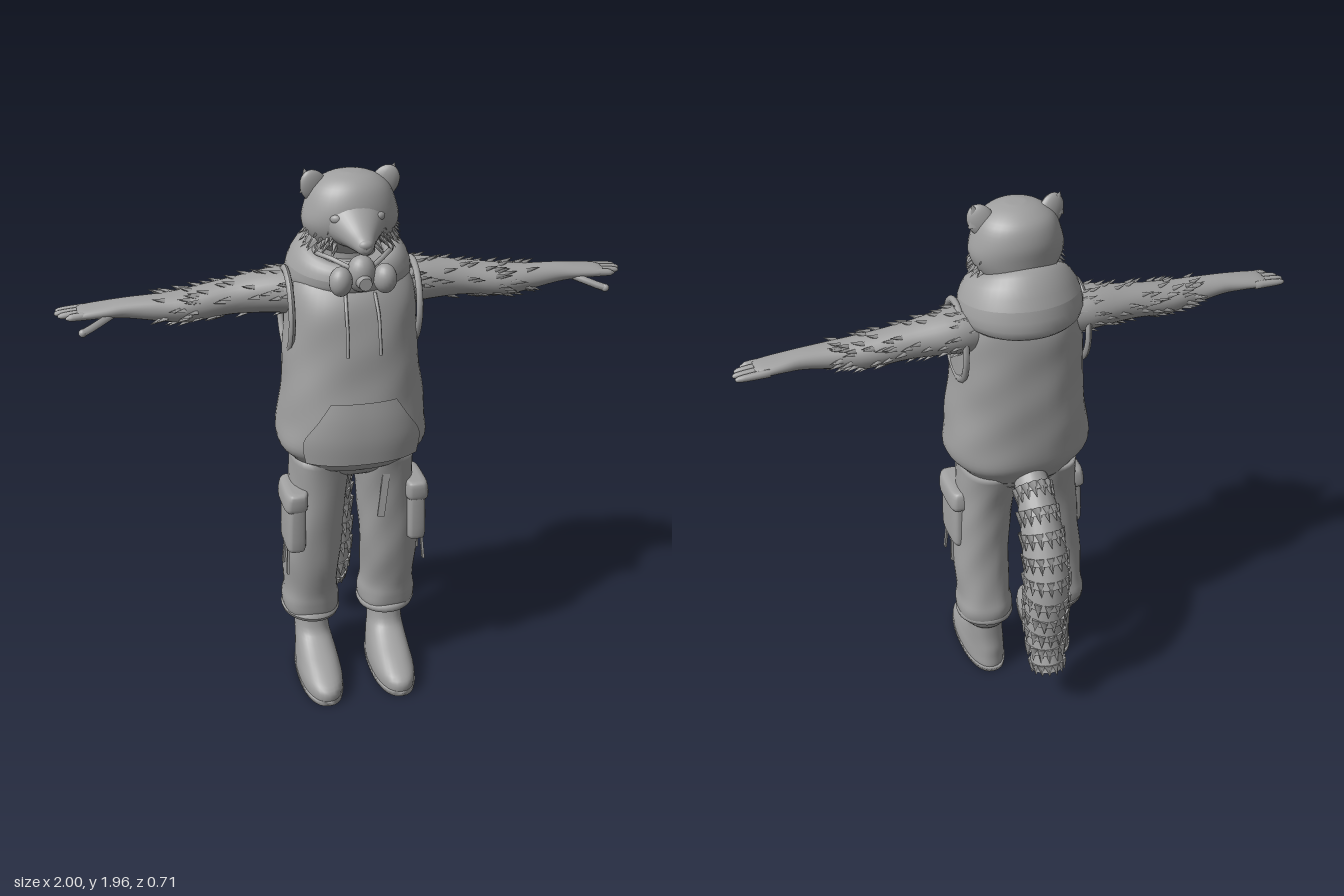
import * as THREE from 'three';
import { mergeGeometries } from 'three/addons/utils/BufferGeometryUtils.js';

const grey = new THREE.MeshStandardMaterial({ color: 0xa0a0a0, side: THREE.DoubleSide });
grey.name = 'grey';

let seed = 7;
const rnd = () => (seed = (seed * 16807) % 2147483647) / 2147483647;
const V = (x, y, z) => new THREE.Vector3(x, y, z);
const spow = (v, e) => Math.sign(v) * Math.pow(Math.abs(v), e);

// Loft of superellipse rings along an axis; rows: [t, centreA, centreB, radiusA, radiusB, halfArc]
// axis y: A = x, B = z; axis z: A = x, B = y; axis x: A = y, B = z
function loft(axis, rows, { n = 28, k = 4, p = 2, fold = 0, arc = false } = {}) {
  const pos = [], idx = [], total = (rows.length - 1) * k;
  for (let i = 0; i <= total; i++) {
    const s = Math.min(Math.floor(i / k), rows.length - 2), f = i / k - s;
    const at = (r) => rows[Math.max(0, Math.min(rows.length - 1, r))];
    const [t, ca, cb, ra, rb, half] = rows[0].map((_, c) => {
      const a = at(s - 1)[c], b = at(s)[c], d = at(s + 1)[c], e = at(s + 2)[c];
      return b + 0.5 * f * (d - a + f * (2 * a - 5 * b + 4 * d - e + f * (3 * (b - d) + e - a)));
    });
    for (let j = 0; j < n; j++) {
      const th = arc ? -half + (2 * half * j) / (n - 1) : (j / n) * Math.PI * 2;
      const w = 1 + fold * (Math.sin(3 * th + 19 * t) + 0.7 * Math.sin(5 * th - 31 * t));
      const c = spow(Math.cos(th), 2 / p) * w, q = spow(Math.sin(th), 2 / p) * w;
      if (axis === 'y') pos.push(ca + ra * q, t, cb + rb * c);
      else if (axis === 'z') pos.push(ca + ra * c, cb + rb * q, t);
      else pos.push(t, ca + ra * c, cb + rb * q);
    }
    const m = arc ? n - 1 : n;
    if (i < total) for (let j = 0; j < m; j++) {
      const a = i * n + j, b = i * n + ((j + 1) % n);
      idx.push(a, b, b + n, a, b + n, a + n);
    }
  }
  if (!arc) for (let j = 1; j < n - 1; j++) {
    const o = total * n;
    idx.push(0, j + 1, j, o, o + j, o + j + 1);
  }
  const g = new THREE.BufferGeometry();
  g.setAttribute('position', new THREE.Float32BufferAttribute(pos, 3));
  g.setIndex(idx);
  g.computeVertexNormals();
  return g;
}

function mirrored(g) {
  const m = g.clone().scale(-1, 1, 1), a = m.index.array;
  for (let i = 0; i < a.length; i += 3) [a[i], a[i + 1]] = [a[i + 1], a[i]];
  m.computeVertexNormals();
  return m;
}

// Place a primitive: position, rotation, scale baked in
function put(g, p, r = [0, 0, 0], s = [1, 1, 1]) {
  const q = new THREE.Quaternion().setFromEuler(new THREE.Euler(...r));
  return g.applyMatrix4(new THREE.Matrix4().compose(V(...p), q, V(...s)));
}
const box = (w, h, d) => new THREE.BoxGeometry(w, h, d);
const ball = (r) => new THREE.SphereGeometry(r, 20, 14);

// Pointed lock of fur
function tuft(base, dir, len, r) {
  const g = new THREE.ConeGeometry(r, len, 4).translate(0, len / 2, 0);
  g.applyQuaternion(new THREE.Quaternion().setFromUnitVectors(V(0, 1, 0), dir.clone().normalize()));
  return g.translate(base.x, base.y, base.z);
}
const rope = (pts, r) => new THREE.TubeGeometry(new THREE.CatmullRomCurve3(pts.map((p) => V(...p))), 16, r, 6);

export function createModel() {
  const model = new THREE.Group();
  const add = (name, g) => {
    const m = new THREE.Mesh(g, grey);
    m.name = name;
    model.add(m);
  };
  const pair = (name, g) => { add('left' + name, g); add('right' + name, mirrored(g)); };

  // Sleeveless hooded top, with a gathered hem
  add('hoodieBody', loft('y', [
    [0.915, 0, 0.08, 0.2, 0.165], [0.945, 0, 0.085, 0.225, 0.185], [1.0, 0, 0.09, 0.265, 0.215],
    [1.1, 0, 0.088, 0.258, 0.218], [1.25, 0, 0.08, 0.24, 0.21], [1.4, 0, 0.073, 0.23, 0.2],
    [1.52, 0, 0.065, 0.222, 0.187], [1.6, 0, 0.055, 0.195, 0.155], [1.66, 0, 0.045, 0.13, 0.115],
  ], { n: 48, k: 5, p: 2.35, fold: 0.009 }));
  add('pouchPocket', loft('y', [
    [0.97, 0, 0.096, 0.262, 0.216, 0.8], [1.05, 0, 0.097, 0.27, 0.222, 0.82],
    [1.13, 0, 0.093, 0.26, 0.222, 0.6], [1.2, 0, 0.084, 0.246, 0.22, 0.42],
  ], { n: 24, p: 2.35, arc: true }));
  pair('Armhole', put(new THREE.TorusGeometry(0.115, 0.012, 8, 28), [0.222, 1.47, 0.06], [0, Math.PI / 2, 0.05], [1, 1.25, 1]));
  pair('Drawstring', rope([[0.05, 1.57, 0.225], [0.055, 1.5, 0.266], [0.055, 1.44, 0.285], [0.057, 1.37, 0.294]], 0.006));

  // Hood lying on the shoulders: a ring that swells towards the back
  const hood = new THREE.TorusGeometry(1, 0.3, 18, 48);
  const hp = hood.attributes.position;
  for (let i = 0; i < hp.count; i++) {
    const x = hp.getX(i), y = hp.getY(i), a = Math.atan2(x, -y), b = (1 + Math.cos(a)) / 2;
    const out = (Math.hypot(x, y) - 1) / 0.3, up = hp.getZ(i) / 0.3;
    const lean = -0.045 * up * b;
    const r = 0.155 + 0.01 * b + out * (0.035 + 0.02 * b) + lean;
    hp.setXYZ(i, Math.sin(a) * r * 1.03, 1.61 + 0.045 * b + up * (0.05 + 0.06 * b), 0.055 - Math.cos(a) * r * 0.96);
  }
  // The ring is remapped from its own plane to lie flat, so its winding is reversed
  hood.computeVertexNormals();
  const hx = hood.index.array, hn = hood.attributes.normal;
  let side = 0;
  for (let i = 0; i < hp.count; i++) side += hn.getY(i) * (hp.getY(i) - 1.63);
  if (side < 0) for (let i = 0; i < hx.length; i += 3) [hx[i], hx[i + 1]] = [hx[i + 1], hx[i]];
  hood.computeVertexNormals();
  add('hood', hood);

  // Neck and head
  add('neck', loft('y', [[1.55, 0, 0.05, 0.1, 0.09], [1.65, 0, 0.05, 0.09, 0.085], [1.76, 0, 0.05, 0.1, 0.09]]));
  add('head', loft('y', [
    [1.675, 0, 0.05, 0.08, 0.08], [1.72, 0, 0.062, 0.135, 0.115], [1.78, 0, 0.07, 0.165, 0.132],
    [1.84, 0, 0.07, 0.156, 0.135], [1.9, 0, 0.07, 0.13, 0.115], [1.935, 0, 0.075, 0.085, 0.075], [1.95, 0, 0.075, 0.03, 0.03],
  ], { n: 36 }));
  add('muzzle', loft('z', [
    [0.08, 0, 1.805, 0.125, 0.11], [0.16, 0, 1.8, 0.105, 0.09], [0.21, 0, 1.785, 0.075, 0.065],
    [0.26, 0, 1.767, 0.045, 0.042], [0.3, 0, 1.757, 0.027, 0.027], [0.312, 0, 1.757, 0.012, 0.012],
  ]));
  add('nose', put(ball(0.022), [0, 1.765, 0.298], [0, 0, 0], [1.1, 0.8, 0.8]));
  pair('Eye', put(ball(0.016), [0.075, 1.822, 0.19], [0, 0.5, 0], [1.2, 0.9, 0.7]));
  pair('Ear', put(new THREE.SphereGeometry(0.055, 16, 12, 0, Math.PI * 2, 0, Math.PI * 0.75),
    [0.122, 1.9, 0.065], [0.1, -0.2, -0.42], [0.85, 1.1, 0.42]));
  pair('EarTip', put(new THREE.ConeGeometry(0.04, 0.075, 12), [0.143, 1.928, 0.065], [0, 0, -0.32], [1, 1, 0.45]));
  const cheek = [];
  for (let i = 0; i < 40; i++) {
    const a = -0.5 + rnd() * 2.2, y = 1.71 + rnd() * 0.1;
    const d = V(Math.cos(a), 0, Math.sin(a) * 0.8);
    if (a < 1.1) cheek.push(tuft(V(d.x * 0.138, y, 0.068 + d.z * 0.13), d.clone().add(V(0, -0.9, 0)), 0.05, 0.012));
  }
  pair('CheekFur', mergeGeometries(cheek));

  // Breathing mask hanging at the throat
  add('maskBody', put(ball(0.055), [0, 1.645, 0.235], [0.2, 0, 0], [0.9, 1.2, 0.9]));
  add('maskValve', put(new THREE.CylinderGeometry(0.022, 0.028, 0.04, 16), [0, 1.63, 0.285], [Math.PI / 2, 0, 0]));
  pair('MaskFilter', put(ball(0.046), [0.075, 1.632, 0.262], [0, 0.5, 0], [0.85, 1.1, 0.9]));
  pair('MaskStrap', rope([[0.04, 1.67, 0.24], [0.09, 1.69, 0.2], [0.13, 1.69, 0.12], [0.1, 1.69, 0.02], [0, 1.69, -0.04]], 0.009));

  // Furry arm
  const armRows = [
    [0.15, 1.525, 0.04, 0.085, 0.095], [0.25, 1.53, 0.025, 0.078, 0.09], [0.4, 1.522, 0.025, 0.062, 0.068],
    [0.55, 1.505, 0.035, 0.057, 0.068], [0.65, 1.508, 0.04, 0.046, 0.056], [0.76, 1.516, 0.04, 0.034, 0.046],
    [0.83, 1.515, 0.038, 0.027, 0.05], [0.9, 1.511, 0.035, 0.021, 0.052], [0.925, 1.51, 0.035, 0.014, 0.046],
  ];
  pair('Arm', loft('x', armRows, { fold: 0.008 }));
  const fur = [];
  for (let i = 0; i < 110; i++) {
    const s = Math.floor(rnd() * 4), f = rnd(), a = rnd() * Math.PI * 2;
    const [x, y, z, ry, rz] = armRows[s].map((v, c) => v + (armRows[s + 1][c] - v) * f);
    const c = Math.cos(a), q = Math.sin(a);
    fur.push(tuft(V(x, y + c * ry * 0.92, z + q * rz * 0.92), V(1.3, c * 0.55, q * 0.55), 0.045, 0.011));
  }
  pair('ArmFur', mergeGeometries(fur));
  // Fingers: z, reach
  [[-0.006, 0.995], [0.02, 1.0], [0.046, 0.99], [0.072, 0.965]].forEach(([z, reach], i) =>
    pair('Finger' + (i + 1), loft('x', [
      [0.88, 1.511, z, 0.015, 0.013], [0.94, 1.509, z, 0.013, 0.014], [reach - 0.012, 1.507, z, 0.01, 0.011], [reach, 1.506, z, 0.003, 0.004],
    ], { n: 10, k: 2 })));
  pair('Thumb', rope([[0.81, 1.505, 0.065], [0.85, 1.492, 0.09], [0.89, 1.478, 0.11], [0.915, 1.47, 0.12]], 0.014));
  pair('ThumbTip', put(ball(0.014), [0.915, 1.47, 0.12]));

  // Cargo trousers
  add('hips', loft('y', [[0.87, 0, 0.07, 0.15, 0.12], [0.91, 0, 0.075, 0.205, 0.155], [1.0, 0, 0.08, 0.21, 0.17]], { p: 2.4 }));
  pair('TrouserLeg', loft('y', [
    [0.225, 0.145, 0.035, 0.072, 0.08], [0.26, 0.145, 0.04, 0.1, 0.105], [0.31, 0.147, 0.04, 0.106, 0.113],
    [0.37, 0.147, 0.05, 0.098, 0.108], [0.5, 0.145, 0.075, 0.104, 0.11], [0.65, 0.135, 0.085, 0.103, 0.115],
    [0.8, 0.122, 0.085, 0.103, 0.127], [0.94, 0.112, 0.08, 0.108, 0.155],
  ], { n: 32, p: 2.25, fold: 0.014 }));
  pair('CuffFold', put(new THREE.TorusGeometry(0.088, 0.022, 10, 28), [0.145, 0.265, 0.04], [Math.PI / 2 + 0.08, 0.06, 0], [1, 1.06, 1]));
  const pocketRows = (y0, y1, g) => [
    [y0, 0.222, 0.125, 0.025, 0.07], [y0 + 0.012, 0.222, 0.125, 0.036 + g, 0.09 + g],
    [y1 - 0.012, 0.218, 0.13, 0.034 + g, 0.09 + g], [y1, 0.21, 0.13, 0.025, 0.08],
  ];
  pair('CargoPocket', loft('y', pocketRows(0.59, 0.78, 0), { p: 4 }));
  pair('PocketFlap', loft('y', pocketRows(0.745, 0.825, 0.007), { p: 4 }));
  [0.1, 0.17].forEach((z, i) =>
    pair('PocketStrap' + (i + 1), put(box(0.008, 0.13, 0.016), [0.25, 0.55, z], [0.15 - i * 0.3, 0, 0.06])));
  add('beltStrap', put(box(0.026, 0.21, 0.008), [0.092, 0.815, 0.222], [-0.1, 0, -0.14]));

  // Boots
  pair('Boot', loft('y', [
    [0.004, 0.138, 0.15, 0.068, 0.188], [0.02, 0.138, 0.152, 0.077, 0.2], [0.06, 0.138, 0.15, 0.078, 0.196],
    [0.1, 0.138, 0.115, 0.073, 0.16], [0.14, 0.14, 0.073, 0.067, 0.113], [0.18, 0.142, 0.045, 0.063, 0.083],
    [0.25, 0.143, 0.035, 0.064, 0.074],
  ], { n: 32, p: 2.3 }));
  pair('BootSole', loft('y', [[0, 0.138, 0.15, 0.078, 0.2], [0.022, 0.138, 0.151, 0.08, 0.204]], { n: 32, k: 1, p: 2.4 }));

  // Bushy tail of overlapping flared bands
  const path = new THREE.CatmullRomCurve3([
    V(0, 0.95, -0.05), V(0, 0.87, -0.135), V(0, 0.75, -0.21), V(0, 0.6, -0.255),
    V(0, 0.45, -0.245), V(0, 0.32, -0.24), V(0, 0.2, -0.27)]);
  const bands = [], locks = [], count = 10;
  for (let i = 0; i < count; i++) {
    const u = (i + 0.5) / count, c = path.getPointAt(u), t = path.getTangentAt(u);
    const r = 0.055 + 0.036 * Math.sin(Math.PI * Math.min(1, 0.12 + u * 0.8));
    const q = new THREE.Quaternion().setFromUnitVectors(V(0, -1, 0), t);
    const g = new THREE.CylinderGeometry(r * 0.84, r * 1.04, 0.115, 20);
    bands.push(g.scale(0.9, 1, 1).applyQuaternion(q).translate(c.x, c.y, c.z));
    for (let j = 0; j < 14; j++) {
      const a = (j / 14) * Math.PI * 2 + i, d = V(Math.cos(a) * 0.9, 0, Math.sin(a)).applyQuaternion(q);
      const base = c.clone().addScaledVector(d, r * 0.9).addScaledVector(t, 0.03);
      locks.push(tuft(base, t.clone().addScaledVector(d, 0.2), i === count - 1 ? 0.045 : 0.06, 0.02));
    }
  }
  add('tail', mergeGeometries(bands));
  add('tailFur', mergeGeometries(locks));
  add('tailTip', put(ball(0.055), [0, 0.215, -0.265], [0.2, 0, 0], [0.8, 0.7, 1.1]));

  return model;
}
